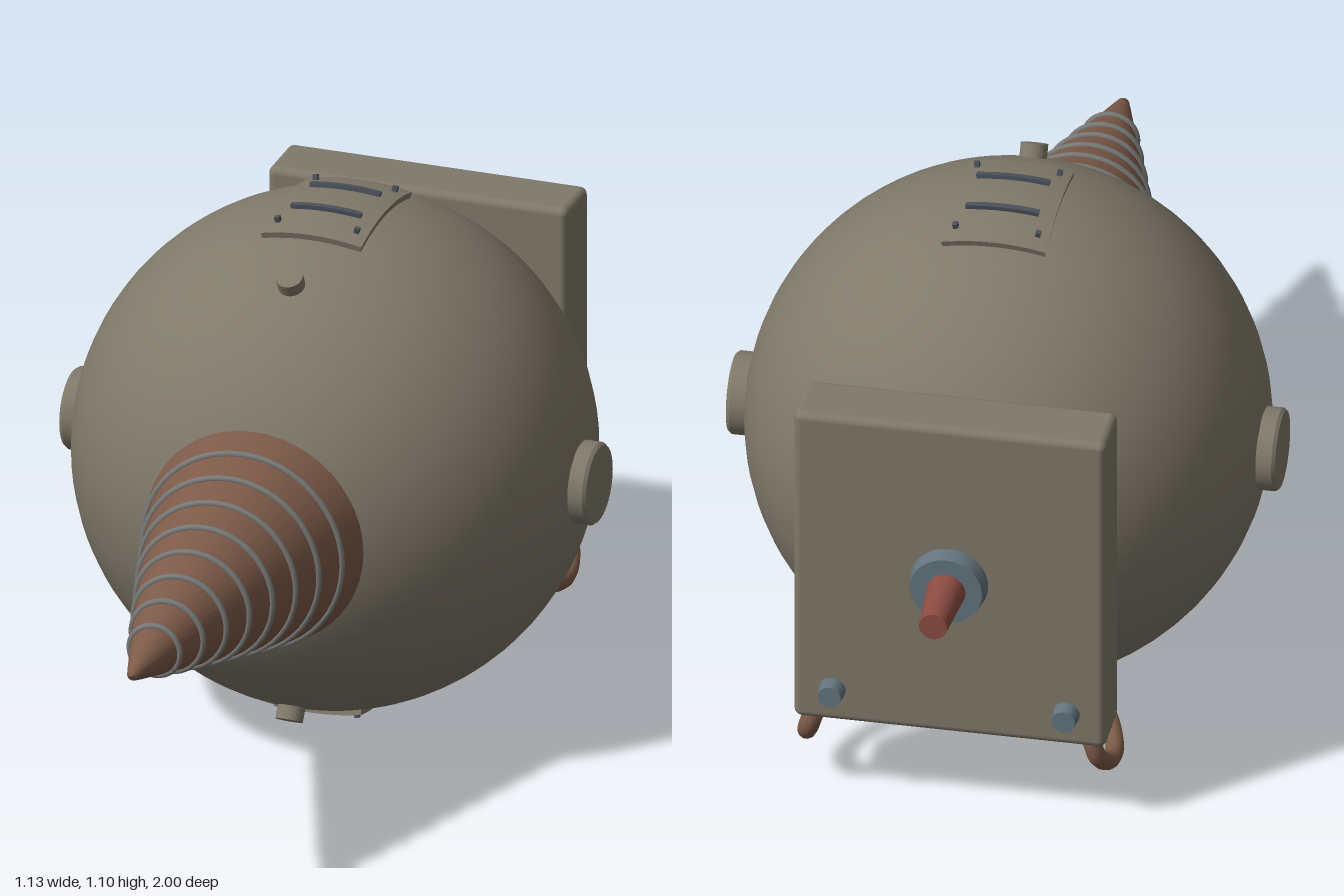
import * as THREE from 'three';
import { RoundedBoxGeometry } from 'three/addons/geometries/RoundedBoxGeometry.js';

const mat = (name, color) => Object.assign(new THREE.MeshStandardMaterial({ color }), { name });
const R = 0.532;
const CENTER = new THREE.Vector3(0, 0.555, -0.21);

export function createModel() {
  const hullMat = mat('hull', 0x80796a);
  const drillMat = mat('copper', 0x7d5a48);
  const ringMat = mat('ringMetal', 0x787976);
  const steelMat = mat('steel', 0x64747e);
  const slotMat = mat('darkSlot', 0x4a515b);
  const redMat = mat('redNozzle', 0x8c4c42);

  const model = new THREE.Group();
  const add = (name, geo, material, x = 0, y = 0, z = 0, parent = model) => {
    const m = new THREE.Mesh(geo, material);
    m.name = name;
    m.position.set(x, y, z);
    parent.add(m);
    return m;
  };
  const alongZ = (geo) => geo.rotateX(Math.PI / 2);

  // Spherical hull
  add('hull', new THREE.SphereGeometry(R, 64, 48), hullMat, ...CENTER);

  // Drill cone with raised rings
  const drillRadius = (z) => 0.232 - (z - 0.27) * 0.303;
  const profile = [[0.24, 0.2], [0.232, 0.27], [drillRadius(0.97), 0.97], [0.012, 0.994], [0, 1]];
  add('drill', alongZ(new THREE.LatheGeometry(profile.map(([r, z]) => new THREE.Vector2(r, z)), 48)), drillMat, 0, CENTER.y, 0);
  for (let i = 0; i < 8; i++) {
    const z = 0.34 + i * 0.0748;
    add('drillRing', new THREE.TorusGeometry(drillRadius(z) + 0.001, 0.007, 8, 48), ringMat, 0, CENTER.y, z);
  }

  // Round side caps, slightly domed edge
  for (const s of [-1, 1]) {
    const cap = new THREE.LatheGeometry([[0.085, 0], [0.085, 0.066], [0.085, 0.066], [0.08, 0.073], [0.08, 0.073], [0, 0.073]]
      .map(([r, y]) => new THREE.Vector2(r, y)), 40);
    add('sideCap', cap, hullMat, s * 0.49, CENTER.y, -0.215).rotation.z = -s * Math.PI / 2;
  }

  // Box bent over the hull: y becomes the height above the surface
  const bent = (w, h, d, x, z, lift) => {
    const geo = new THREE.BoxGeometry(w, h, d, 12, 1, 12).translate(x, lift, z);
    const p = geo.attributes.position;
    const v = new THREE.Vector3();
    for (let i = 0; i < p.count; i++) {
      const px = p.getX(i), pz = p.getZ(i);
      v.set(px, Math.sqrt(R * R - px * px - pz * pz), pz).setLength(R + p.getY(i));
      p.setXYZ(i, v.x, v.y, v.z);
    }
    geo.computeVertexNormals();
    return geo;
  };

  // Hatch and stub, repeated above and below
  for (const s of [1, -1]) {
    const side = new THREE.Group();
    side.name = s > 0 ? 'topFittings' : 'bottomFittings';
    side.position.copy(CENTER);
    if (s < 0) side.rotation.z = Math.PI;
    model.add(side);
    add('hatchPlate', bent(0.21, 0.014, 0.295, 0, -0.007, 0.006), hullMat, 0, 0, 0, side);
    for (const z of [-0.06, 0.05])
      add('hatchSlot', bent(0.145, 0.012, 0.012, 0, z, 0.016), slotMat, 0, 0, 0, side);
    for (const x of [-0.082, 0.082])
      for (const z of [-0.117, 0.102])
        add('hatchBolt', bent(0.01, 0.014, 0.01, x, z, 0.017), slotMat, 0, 0, 0, side);
    const stub = add('stub', new THREE.CylinderGeometry(0.028, 0.028, 0.06, 24), hullMat, 0, 0, 0, side);
    const dir = new THREE.Vector3(0, Math.cos(0.51), Math.sin(0.51));
    stub.position.copy(dir).multiplyScalar(0.53);
    stub.rotation.x = 0.51;
  }

  // Rear box
  add('rearBox', new RoundedBoxGeometry(0.64, 0.725, 0.135, 3, 0.016), hullMat, 0, 0.557, -0.7625);

  // Rear hub and nozzle
  add('hub', alongZ(new THREE.CylinderGeometry(0.08, 0.074, 0.035, 32)), steelMat, 0, CENTER.y, -0.847);
  add('nozzle', alongZ(new THREE.CylinderGeometry(0.041, 0.029, 0.15, 24)), redMat, 0, CENTER.y, -0.925);

  // Bolts and bent pipes, mirrored
  for (const s of [-1, 1]) {
    add('rearBolt', alongZ(new THREE.CylinderGeometry(0.028, 0.024, 0.035, 20)), steelMat, s * 0.24, 0.27, -0.845);
    const path = new THREE.CatmullRomCurve3([
      [0.275, 0.215, -0.785], [0.295, 0.15, -0.787], [0.31, 0.112, -0.74],
      [0.31, 0.108, -0.68], [0.282, 0.135, -0.61], [0.23, 0.185, -0.565], [0.18, 0.24, -0.53],
    ].map(([x, y, z]) => new THREE.Vector3(s * x, y, z)));
    add('pipe', new THREE.TubeGeometry(path, 40, 0.019, 12), drillMat);
  }
  return model;
}
